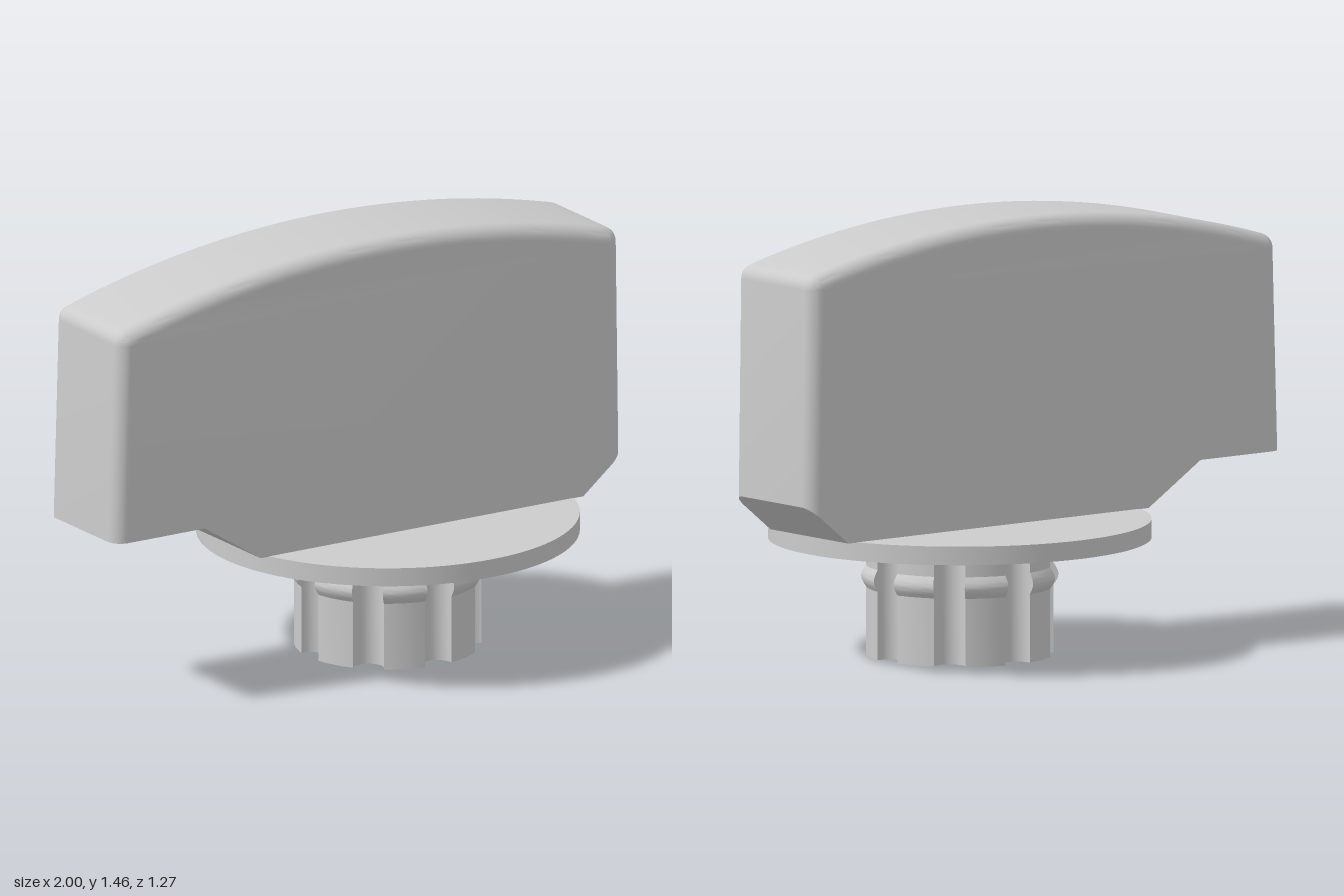
import * as THREE from 'three';
import { toCreasedNormals } from 'three/addons/utils/BufferGeometryUtils.js';

const AXIS_X = 0.204; // turning axis of the knob

// Closed solid through equal-length rings of Vector3 (counter-clockwise, from +z to -z)
function loft(rings) {
  const n = rings[0].length, last = (rings.length - 1) * n, index = [];
  for (let i = 0; i < rings.length - 1; i++) {
    for (let j = 0; j < n; j++) {
      const a = i * n + j, b = i * n + (j + 1) % n;
      index.push(a, a + n, b + n, a, b + n, b);
    }
  }
  const cap = ring => THREE.ShapeUtils.triangulateShape(ring.map(p => new THREE.Vector2(p.x, p.y)), []);
  cap(rings[0]).forEach(([a, b, c]) => index.push(a, b, c));
  cap(rings[rings.length - 1]).forEach(([a, b, c]) => index.push(last + a, last + c, last + b));
  const geometry = new THREE.BufferGeometry().setFromPoints(rings.flat());
  geometry.setIndex(index);
  return toCreasedNormals(geometry, 0.5);
}

// Handle outline: flat stepped base, tilted ends, arched top; t grows it by a fillet offset
const FILLET = 0.05;
function handleRing(t, z) {
  const d = FILLET - t, pts = [];
  const add = (x, y) => pts.push(new THREE.Vector3(x, y, z));
  const cx = 0.07, cy = -2.035, R = 3.5 - FILLET;
  const topY = x => cy + Math.sqrt(R * R - (x - cx) ** 2);
  const corner = (x, from, to) => {
    for (let i = 0; i <= 6; i++) {
      const a = from + (to - from) * i / 6;
      add(x + t * Math.cos(a), topY(x) + t * Math.sin(a));
    }
  };
  const right = 0.99 - FILLET, left = -0.98 + FILLET;
  const aRight = Math.acos((right - cx) / R), aLeft = Math.acos((left - cx) / R);
  add(-1 + d, 0.59);
  add(-0.65, 0.59);
  add(-0.43, 0.45);
  add(0.84, 0.45);
  add(1 - d, 0.58 - d * 0.81);
  corner(right, 0, aRight);
  for (let i = 1; i < 40; i++) {
    const a = aRight + (aLeft - aRight) * i / 40;
    add(cx + (R + t) * Math.cos(a), cy + (R + t) * Math.sin(a));
  }
  corner(left, aLeft, Math.PI);
  return pts;
}

function handleGeometry() {
  const half = 0.206, steps = 8, front = [];
  for (let i = 0; i <= steps; i++) {
    const a = i / steps * Math.PI / 2;
    front.push([FILLET * Math.sin(a), half - FILLET * (1 - Math.cos(a))]);
  }
  const back = front.map(([t, z]) => [t, -z]).reverse();
  return loft([...front, ...back].map(([t, z]) => handleRing(t, z)));
}

// Round shaft section with eight U-shaped grooves
function shaftRing(R, z) {
  const g = 0.052, pts = [], edge = Math.asin(g / R);
  const polar = (u, v, a) => pts.push(new THREE.Vector3(
    u * Math.cos(a) - v * Math.sin(a), u * Math.sin(a) + v * Math.cos(a), z));
  for (let k = 0; k < 8; k++) {
    const a = k * Math.PI / 4;
    for (let i = 0; i <= 12; i++) {
      const s = i / 12 * Math.PI;
      polar(0.3 - g * Math.sin(s), -g * Math.cos(s), a);
    }
    for (let i = 0; i <= 6; i++) {
      polar(R, 0, a + edge + (Math.PI / 4 - 2 * edge) * i / 6);
    }
  }
  return pts;
}

function shaftGeometry() {
  const rings = [shaftRing(0.31, 0.4)];
  // Snap-in bead around the shaft
  for (let i = 0; i <= 12; i++) {
    rings.push(shaftRing(0.31 + 0.016 * Math.sin(i / 12 * Math.PI), 0.3 - 0.072 * i / 12));
  }
  rings.push(shaftRing(0.31, 0));
  return loft(rings).rotateX(-Math.PI / 2);
}

export function createModel() {
  const group = new THREE.Group();
  const material = new THREE.MeshStandardMaterial({ color: 0xcccccc });
  const add = (name, geometry, x = 0, y = 0) => {
    const mesh = new THREE.Mesh(geometry, material);
    mesh.name = name;
    mesh.position.set(x, y, 0);
    group.add(mesh);
  };
  add('handle', handleGeometry());
  add('flange', new THREE.CylinderGeometry(0.634, 0.634, 0.062, 96), AXIS_X, 0.42);
  add('splinedShaft', shaftGeometry(), AXIS_X);
  return group;
}
